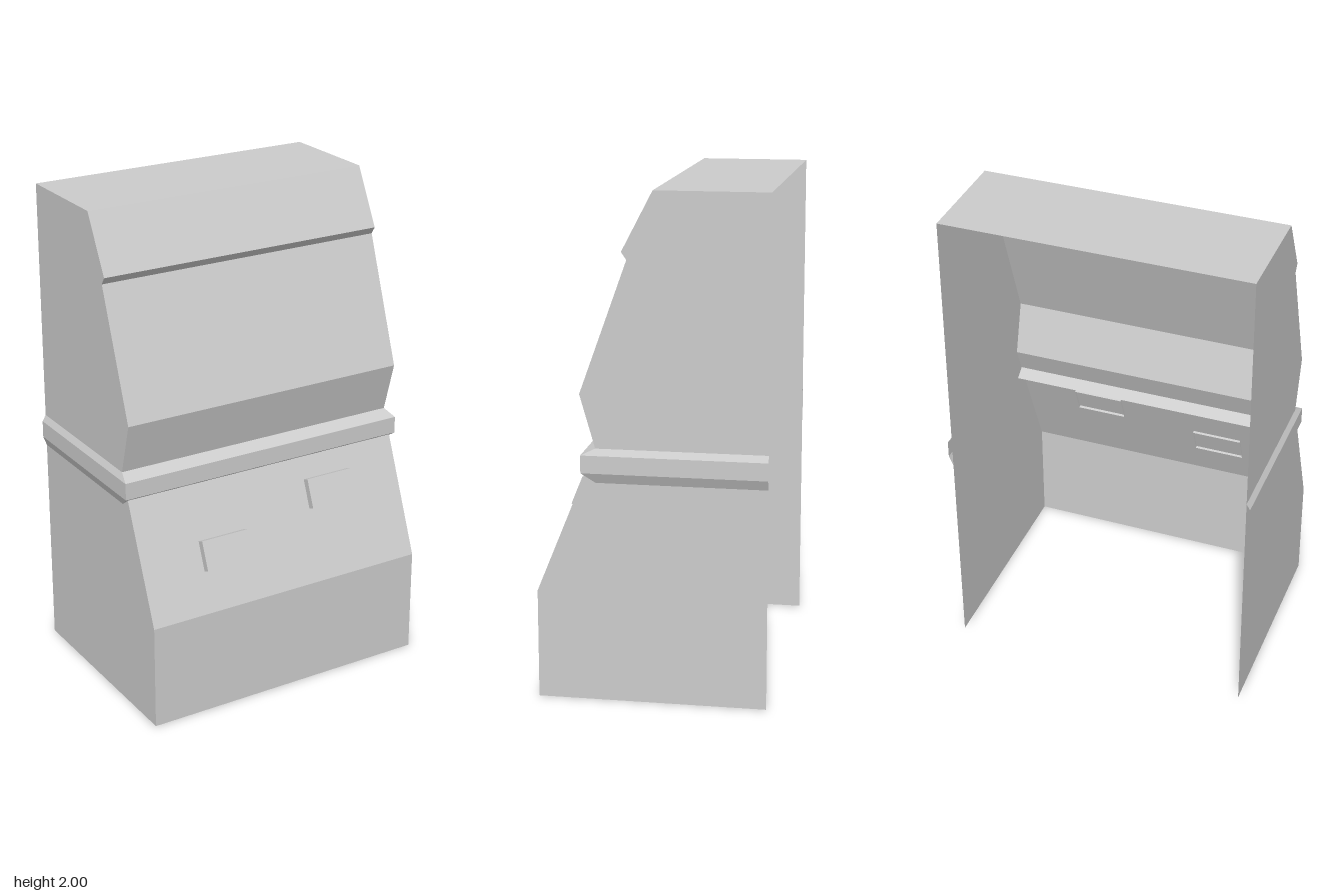
import * as THREE from 'three';

const LEFT = 0.617, RIGHT = -0.62, BACK = -0.45;

// Cabinet outline as [z, y], from the bottom of the front up and over to the back
const PROFILE = [
  [0.45, 0], [0.45, 0.435], [0.215, 1.015], [0.275, 1.225],
  [0.09, 1.74], [0.11, 1.77], [-0.01, 2], [BACK, 2],
];

// Flat-faced skin between rows of points, listed left to right and bottom to top
function loft(rows) {
  const pos = [];
  for (let r = 0; r < rows.length - 1; r++) {
    for (let i = 0; i < rows[r].length - 1; i++) {
      const a = rows[r][i], b = rows[r][i + 1];
      const c = rows[r + 1][i + 1], d = rows[r + 1][i];
      pos.push(...a, ...b, ...c, ...a, ...c, ...d);
    }
  }
  const geo = new THREE.BufferGeometry();
  geo.setAttribute('position', new THREE.Float32BufferAttribute(pos, 3));
  geo.computeVertexNormals();
  return geo;
}

export function createModel() {
  const model = new THREE.Group();
  model.name = 'cabinet';
  const grey = new THREE.MeshStandardMaterial({ color: 0xcccccc, side: THREE.DoubleSide });
  grey.name = 'plain grey';

  const add = (name, geo) => {
    const mesh = new THREE.Mesh(geo, grey);
    mesh.name = name;
    model.add(mesh);
    return mesh;
  };

  // Folded front and top; the back and the underside stay open
  add('frontAndTop', loft(PROFILE.map(([z, y]) => [[RIGHT, y, z], [LEFT, y, z]])));

  // Flat side walls facing outwards
  for (const [name, x, s] of [['leftWall', LEFT, 1], ['rightWall', RIGHT, -1]]) {
    const outline = [...PROFILE, [BACK, 0]].map(([z, y]) => new THREE.Vector2(-s * z, y));
    const wall = add(name, new THREE.ShapeGeometry(new THREE.Shape(outline)));
    wall.rotation.y = s * Math.PI / 2;
    wall.position.x = x;
  }

  // Bevelled trim band around the front and sides: [y, how far out]
  const bandRows = [[0.88, 0], [0.92, 1], [0.99, 1], [1.015, 0]].map(([y, out]) => {
    const l = out ? 0.635 : LEFT, r = out ? -0.635 : RIGHT;
    const z = out ? 0.27 : 0.215;
    return [[r, y, BACK], [r, y, z], [l, y, z], [l, y, BACK]];
  });
  add('trimBand', loft(bandRows));

  // Two open-backed blocks standing on the sloping lower panel
  const tilt = Math.atan2(0.235, 0.58), depth = 0.04;
  for (const [name, x, y, z] of [
    ['lowerBlock', -0.25, 0.658, 0.392],
    ['upperBlock', 0.275, 0.78, 0.342],
  ]) {
    const geo = new THREE.BoxGeometry(0.21, 0.121, depth);
    geo.setIndex(Array.from(geo.index.array).slice(0, 30)); // drop the back face
    geo.clearGroups();
    geo.translate(0, 0, -depth / 2);
    const block = add(name, geo);
    block.rotation.x = -tilt;
    block.position.set(x, y, z);
  }

  return model;
}
